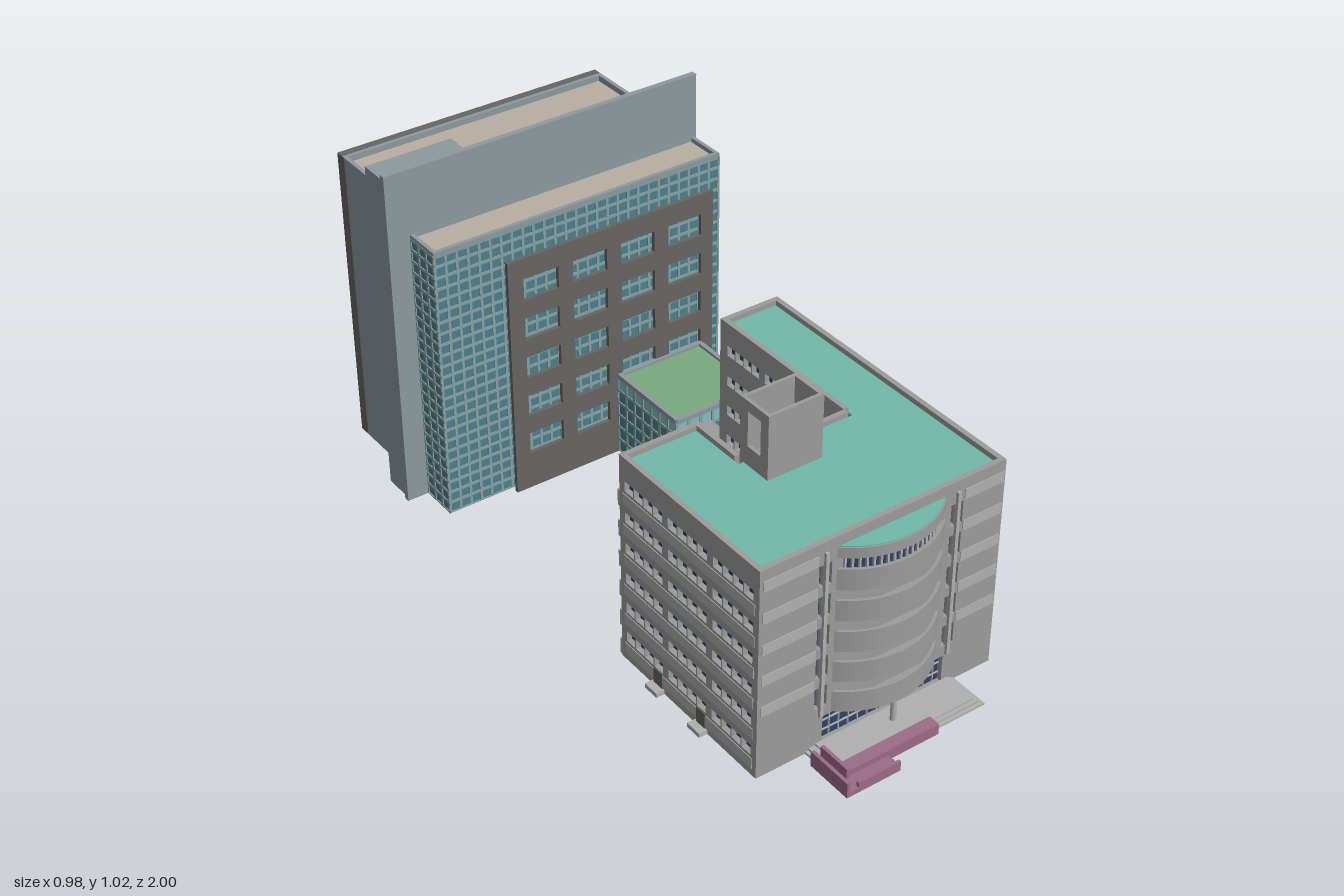
import * as THREE from 'three';
import { mergeGeometries } from 'three/addons/utils/BufferGeometryUtils.js';

const C = {
  wall: 0x9c9c9c, band: 0xb0b0b0, glass: 0x2f4068, roof: 0x70b9a9, lawn: 0x79aa7e, beige: 0xb9aea2,
  dark: 0x666564, slab: 0x8c999e, curtain: 0x4c7f8c, grid: 0x86a0a4, pale: 0x7fc0bd, mauve: 0x9c6b88,
};
const mats = {};
const mat = (c) => (mats[c] ??= new THREE.MeshStandardMaterial({ color: c, side: THREE.DoubleSide }));

function add(parent, name, color, geo) {
  const m = new THREE.Mesh(geo, mat(color));
  m.name = name;
  parent.add(m);
  return m;
}
// Box from its limits
const box = (x0, x1, y0, y1, z0, z1) =>
  new THREE.BoxGeometry(x1 - x0, y1 - y0, z1 - z0).translate((x0 + x1) / 2, (y0 + y1) / 2, (z0 + z1) / 2);
const boxes = (parent, name, color, list) =>
  add(parent, name, color, mergeGeometries(list.map((b) => box(...b))));
// Four walls around a rectangle
const rim = (x0, x1, y0, y1, z0, z1, t) => [
  [x0, x1, y0, y1, z0, z0 + t], [x0, x1, y0, y1, z1 - t, z1],
  [x0, x0 + t, y0, y1, z0 + t, z1 - t], [x1 - t, x1, y0, y1, z0 + t, z1 - t]];
// Vertical prism over a plan of [x, z] points
function prism(pts, y0, y1) {
  const s = new THREE.Shape(pts.map(([x, z]) => new THREE.Vector2(x, -z)));
  return new THREE.ExtrudeGeometry(s, { depth: y1 - y0, bevelEnabled: false, curveSegments: 1 })
    .rotateX(-Math.PI / 2).translate(0, y0, 0);
}
// Move a geometry drawn along +x, facing +z, onto the plan edge p -> q
function onEdge(geo, p, q) {
  return geo.rotateY(Math.atan2(-(q[1] - p[1]), q[0] - p[0])).translate(p[0], 0, p[1]);
}
// Upright panel with rectangular holes [u0, u1, v0, v1]; its outer face is at z = 0
function panel(L, H, t, holes) {
  const rect = (P, a, b, c, d) => new P([[a, c], [b, c], [b, d], [a, d]].map((v) => new THREE.Vector2(...v)));
  const s = rect(THREE.Shape, 0, L, 0, H);
  s.holes = holes.map((h) => rect(THREE.Path, ...h));
  return new THREE.ExtrudeGeometry(s, { depth: t, bevelEnabled: false }).translate(0, 0, -t);
}
// Grid of glazing bars on a plan edge
function glazing(parent, p, q, H, step, color) {
  const L = Math.hypot(q[0] - p[0], q[1] - p[1]), n = Math.max(1, Math.round(L / step)), m = Math.round(H / step);
  const list = [], w = 0.004;
  for (let i = 0; i <= n; i++) list.push(box(L * i / n - w, L * i / n + w, 0, H, -0.002, 0.003));
  for (let j = 0; j <= m; j++) list.push(box(0, L, Math.max(0, H * j / m - w), Math.min(H, H * j / m + w), -0.002, 0.003));
  add(parent, 'glazingBars', color, onEdge(mergeGeometries(list), p, q));
}

function officeBlock() {
  const g = new THREE.Group();
  g.name = 'officeBlock';
  const H = 0.63, t = 0.015, floors = [0, 1, 2, 3, 4, 5].map((i) => 0.062 + 0.094 * i);
  const plan = [[-0.38, 0.82], [0.36, 0.82], [0.36, -0.08], [0.175, -0.08],
    [0.175, 0.43], [-0.145, 0.43], [-0.145, 0.26], [-0.38, 0.26]];
  const N = plan.length;
  const normal = (i) => {
    const p = plan[i % N], q = plan[(i + 1) % N];
    return [-Math.sign(q[1] - p[1]), Math.sign(q[0] - p[0])];
  };
  const inner = plan.map((p, i) => {
    const a = normal(i), b = normal(i + N - 1);
    return [p[0] - t * (a[0] + b[0]), p[1] - t * (a[1] + b[1])];
  });
  add(g, 'windowGlass', C.glass, prism(inner, 0.005, 0.6));
  add(g, 'roof', C.roof, prism(inner, 0.6, 0.615));
  add(g, 'floorPlate', C.wall, prism(plan, 0, 0.005));

  // Rows of windows in groups of panes
  const rows = (groups) => floors.flatMap((y) => groups.flatMap(([a, b]) => {
    const k = Math.max(2, Math.round((b - a) / 0.04)), w = (b - a) / k;
    return Array.from({ length: k }, (_, i) => [a + i * w + 0.002, a + (i + 1) * w - 0.002, y, y + 0.03]);
  }));
  const slits = [0.127, 0.22, 0.313, 0.407, 0.5].flatMap((y) =>
    [-0.207, -0.185, 0.192, 0.214].map((x) => [x + 0.38, x + 0.395, y, y + 0.064]));
  const holes = [
    [...slits, [0.2, 0.58, 0.012, 0.094]],
    rows([[0.02, 0.18], [0.2, 0.355], [0.37, 0.525], [0.54, 0.695], [0.72, 0.8]]),
    floors.slice(1).map((y) => [0.03, 0.15, y - 0.02, y + 0.04]),
    rows([[0.03, 0.17], [0.19, 0.33], [0.35, 0.49]]),
    floors.slice(1).flatMap((y) => [[0.07, 0.085, y - 0.01, y + 0.04], [0.25, 0.265, y - 0.04, y + 0.01]]),
    [],
    floors.map((y) => [0.02, 0.215, y - 0.01, y + 0.035]),
    rows([[0.02, 0.18], [0.2, 0.36], [0.38, 0.54]]),
  ];
  holes.forEach((h, i) => {
    const p = plan[i], q = plan[(i + 1) % N], L = Math.hypot(q[0] - p[0], q[1] - p[1]);
    add(g, 'outerWall', C.wall, onEdge(panel(L, H, t, h), p, q));
    // Pale bands between the long window rows
    if (i === 1 || i === 7) {
      const bands = floors.map((y) => box(0.015, L - (i === 1 ? 0.09 : 0.015), y - 0.04, y - 0.008, -0.002, 0.002));
      add(g, 'paleBands', C.band, onEdge(mergeGeometries(bands), p, q));
    }
    // Closed backs of the loggias, with projecting parapets on the short wing
    if (i === 2 || i === 6) add(g, 'loggiaBack', C.wall, onEdge(box(0.016, L - 0.016, 0.02, 0.59, -t - 0.001, -t + 0.003), p, q));
    if (i === 6) add(g, 'loggiaParapets', C.band,
      onEdge(mergeGeometries(floors.map((y) => box(0.01, L, y - 0.058, y - 0.01, -0.002, 0.008))), p, q));
  });

  // Front: pale bands, window piers and entrance bars
  const front = [];
  for (let i = 0; i < 5; i++) {
    const y = 0.19 + 0.094 * i;
    front.push([-0.37, -0.21, y, y + 0.031, 0.818, 0.822], [0.232, 0.355, y, y + 0.031, 0.818, 0.822]);
  }
  boxes(g, 'frontBands', C.band, front);
  boxes(g, 'frontPiers', C.band, [-0.189, 0.21].map((x) => [x - 0.005, x + 0.005, 0.1, 0.6, 0.815, 0.828]));
  const bars = [0.035, 0.065].map((y) => [-0.18, 0.2, y, y + 0.003, 0.803, 0.809]);
  for (let x = -0.15; x < 0.2; x += 0.03) bars.push([x, x + 0.003, 0.012, 0.094, 0.803, 0.809]);
  boxes(g, 'entranceBars', C.band, bars);

  // Bowed balconies
  const R = 0.2417, half = Math.asin(0.165 / R), zc = 0.885 - R;
  const arc = (r, n = 24) => Array.from({ length: n + 1 }, (_, i) => {
    const a = -half + 2 * half * i / n;
    return [0.01 + r * Math.sin(a), Math.max(0.815, zc + r * Math.cos(a))];
  });
  const shell = [...arc(R), ...arc(R - 0.008).reverse()];
  for (let i = 0; i < 5; i++) {
    const y = 0.098 + 0.0935 * i;
    add(g, 'balconyFloor', C.wall, prism(arc(R - 0.002), y, y + 0.01));
    add(g, 'balconyParapet', C.wall, prism(shell, y, y + 0.062));
  }
  add(g, 'topBay', C.wall, prism(arc(R), 0.567, 0.597));
  add(g, 'topBayRoof', C.roof, prism(arc(R - 0.004), 0.597, 0.6));
  add(g, 'topBayWindow', C.glass, prism(arc(R - 0.014), 0.53, 0.568));
  const posts = arc(R - 0.012, 20).map(([x, z]) => [x - 0.003, x + 0.003, 0.53, 0.568, z - 0.003, z + 0.003]);
  boxes(g, 'topBayBars', C.band, posts);
  add(g, 'entranceColumn', C.band, new THREE.CylinderGeometry(0.008, 0.008, 0.098, 16).translate(0.01, 0.049, 0.862));

  // Hollow lift tower with an opening on one side
  const tower = [[-0.145, 0.02, 0.6, 0.8, 0.43, 0.44], [-0.145, 0.02, 0.6, 0.8, 0.53, 0.54],
    [0.01, 0.02, 0.6, 0.8, 0.44, 0.53], [-0.145, -0.135, 0.6, 0.67, 0.44, 0.53], [-0.145, -0.135, 0.77, 0.8, 0.44, 0.53],
    [-0.145, -0.135, 0.67, 0.77, 0.44, 0.46], [-0.145, -0.135, 0.67, 0.77, 0.51, 0.53]];
  boxes(g, 'liftTower', C.wall, tower);

  // Entrance terrace, ramp walls, side steps and courtyard ledge
  boxes(g, 'terrace', C.band, [[-0.23, 0.24, 0, 0.006, 0.82, 0.94], [-0.22, 0.23, 0, 0.012, 0.82, 0.93], [-0.2, 0.22, 0, 0.017, 0.82, 0.92]]);
  boxes(g, 'rampWalls', C.mauve, [[-0.245, -0.235, 0, 0.045, 0.86, 1], [-0.215, -0.205, 0, 0.045, 0.86, 0.96],
    [-0.21, 0.078, 0, 0.032, 0.92, 0.955], [-0.245, -0.08, 0, 0.015, 0.955, 1], [-0.21, -0.08, 0, 0.03, 0.992, 1]]);
  for (const z of [0.42, 0.6]) {
    boxes(g, 'sideSteps', C.band, [[-0.405, -0.38, 0, 0.013, z - 0.025, z + 0.025]]);
    boxes(g, 'sideDoor', C.dark, [[-0.383, -0.378, 0.013, 0.06, z - 0.018, z + 0.018]]);
  }
  boxes(g, 'courtyardLedge', C.wall, [[0.163, 0.176, 0.1, 0.115, 0.02, 0.27]]);
  // Link bridge
  boxes(g, 'linkBridge', C.wall, [[0.175, 0.232, 0.1, 0.22, -0.205, -0.075]]);
  const panes = [];
  for (let i = 0; i < 4; i++) for (const y of [0.16, 0.176])
    panes.push([0.173, 0.234, y, y + 0.013, -0.18 + i * 0.021, -0.163 + i * 0.021]);
  boxes(g, 'bridgeWindows', C.glass, panes);
  return g;
}

function annex() {
  const g = new THREE.Group();
  g.name = 'annex';
  const plan = [[0.12, -0.2], [0.28, -0.2], [0.4, -0.34], [0.4, -0.478], [0.12, -0.478]];
  const inner = [[0.13, -0.21], [0.275, -0.21], [0.39, -0.345], [0.39, -0.47], [0.13, -0.47]];
  add(g, 'glassWalls', C.curtain, prism(plan, 0, 0.205));
  add(g, 'upperGlass', C.pale, prism(plan, 0.205, 0.25));
  add(g, 'greenRoof', C.lawn, prism(inner, 0.25, 0.254));
  plan.forEach((p, i) => {
    const q = plan[(i + 1) % plan.length], L = Math.hypot(q[0] - p[0], q[1] - p[1]);
    glazing(g, p, q, 0.25, 0.042, C.grid);
    add(g, 'roofEdge', C.slab, onEdge(box(0, L, 0.247, 0.262, -0.01, 0.004), p, q));
  });
  // Entrance canopy, square to the slanted wall
  const porch = boxes(g, 'entrancePorch', C.band, [[-0.045, 0.045, 0.08, 0.095, -0.03, 0.04],
    [-0.045, -0.03, 0, 0.08, 0.02, 0.035], [0.03, 0.045, 0, 0.08, 0.02, 0.035]]);
  porch.position.set(0.365, 0, -0.258);
  porch.rotation.y = Math.atan2(0.14, 0.12);
  return g;
}

function tower() {
  const g = new THREE.Group();
  g.name = 'tower';
  // Rear block with deep-set back windows
  boxes(g, 'rearBlock', C.slab, [[-0.42, 0.41, 0, 0.88, -0.965, -0.63], ...rim(-0.42, 0.41, 0.88, 0.9, -0.975, -0.63, 0.012)]);
  boxes(g, 'rearRoof', C.beige, [[-0.408, 0.398, 0.878, 0.883, -0.963, -0.642]]);
  const holes = [];
  for (let c = 0; c < 4; c++) {
    const u = 0.1 + c * 0.18;
    holes.push([u, u + 0.088, 0.003, 0.1]);
    for (let r = 0; r < 5; r++) holes.push([u, u + 0.088, 0.16 + r * 0.142, 0.262 + r * 0.142]);
  }
  add(g, 'backFacade', C.dark, onEdge(panel(0.83, 0.9, 0.036, holes), [0.41, -1], [-0.42, -1]));
  // Slit windows on the side
  const slits = [], strips = [];
  for (const z of [-0.685, -0.742]) {
    strips.push([0.409, 0.4115, 0.09, 0.82, z - 0.006, z + 0.006]);
    for (let i = 0; i < 6; i++) slits.push([0.409, 0.413, 0.09 + i * 0.13, 0.17 + i * 0.13, z - 0.006, z + 0.006]);
  }
  boxes(g, 'slitStrips', C.band, strips);
  boxes(g, 'slitWindows', C.glass, slits);
  // Tall dividing slab and stair shaft
  boxes(g, 'dividingSlab', C.slab, [[-0.49, 0.488, 0, 1.02, -0.637, -0.62]]);
  boxes(g, 'stairShaft', C.slab, [[-0.482, -0.225, 0, 1, -0.73, -0.63]]);
  // Glazed front block
  boxes(g, 'glassBlock', C.curtain, [[-0.423, 0.48, 0, 0.815, -0.63, -0.507]]);
  boxes(g, 'frontParapet', C.slab, rim(-0.425, 0.482, 0.812, 0.83, -0.63, -0.504, 0.011));
  boxes(g, 'frontRoof', C.beige, [[-0.412, 0.47, 0.814, 0.818, -0.625, -0.515]]);
  const edge = [[-0.423, -0.62], [-0.423, -0.507], [0.48, -0.507], [0.48, -0.62]];
  for (let i = 0; i < 3; i++) glazing(g, edge[i], edge[i + 1], 0.82, 0.034, C.grid);
  // Dark window screen standing in front of the glass
  const win = [];
  for (let c = 0; c < 4; c++) for (let r = 0; r < 5; r++)
    win.push([0.047 + c * 0.156, 0.157 + c * 0.156, 0.115 + r * 0.124, 0.182 + r * 0.124]);
  add(g, 'windowScreen', C.dark, onEdge(panel(0.665, 0.74, 0.012, win), [-0.224, -0.476], [0.441, -0.476]));
  return g;
}

export function createModel() {
  const model = new THREE.Group();
  model.name = 'officeComplex';
  model.add(officeBlock(), annex(), tower());
  return model;
}
